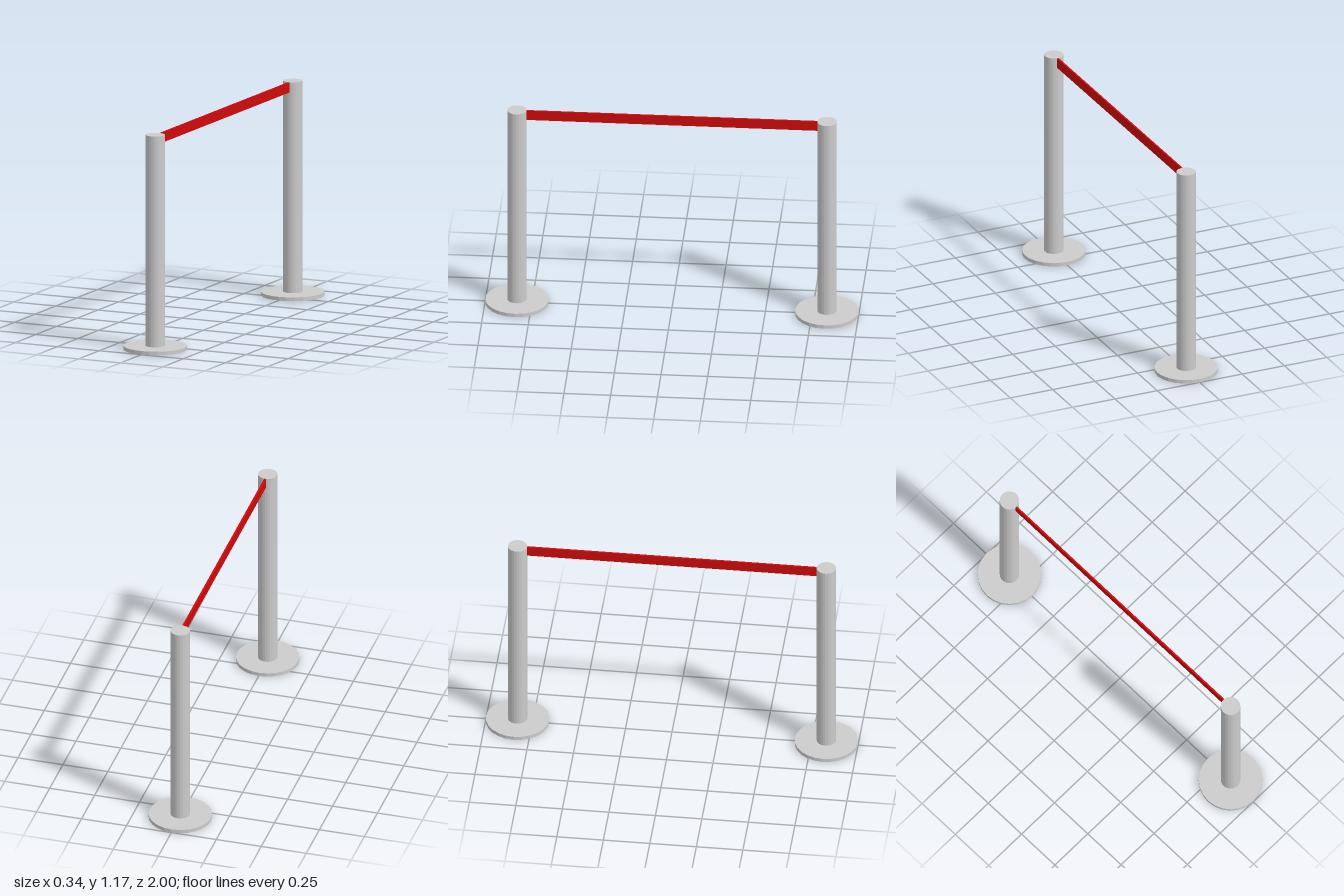
import * as THREE from 'three';

const HEIGHT = 1.167, BASE_R = 0.17, BASE_H = 0.02, POLE_R = 0.052;
const POST_Z = 1 - BASE_R, BELT_H = 0.055, BELT_T = 0.01;

const metal = new THREE.MeshStandardMaterial({ color: 0xcccccc, flatShading: true });
const red = new THREE.MeshStandardMaterial({ color: 0xd00a0a });

function part(name, geometry, material, y) {
  const mesh = new THREE.Mesh(geometry, material);
  mesh.name = name;
  mesh.position.y = y;
  return mesh;
}

// Round foot plate with an upright pole
function createPost(name, z) {
  const post = new THREE.Group();
  post.name = name;
  const poleH = HEIGHT - BASE_H;
  post.add(
    part('base', new THREE.CylinderGeometry(BASE_R, BASE_R, BASE_H, 24), metal, BASE_H / 2),
    part('pole', new THREE.CylinderGeometry(POLE_R, POLE_R, poleH, 24), metal, BASE_H + poleH / 2)
  );
  post.position.z = z;
  return post;
}

export function createModel() {
  const model = new THREE.Group();
  model.name = 'queueBarrier';
  model.add(createPost('frontPost', POST_Z), createPost('backPost', -POST_Z));

  // Belt stretched between the pole tops, its ends sunk into the poles
  const length = 2 * (POST_Z - POLE_R + 0.01);
  model.add(part('belt', new THREE.BoxGeometry(BELT_T, BELT_H, length), red, HEIGHT - 0.001 - BELT_H / 2));
  return model;
}
